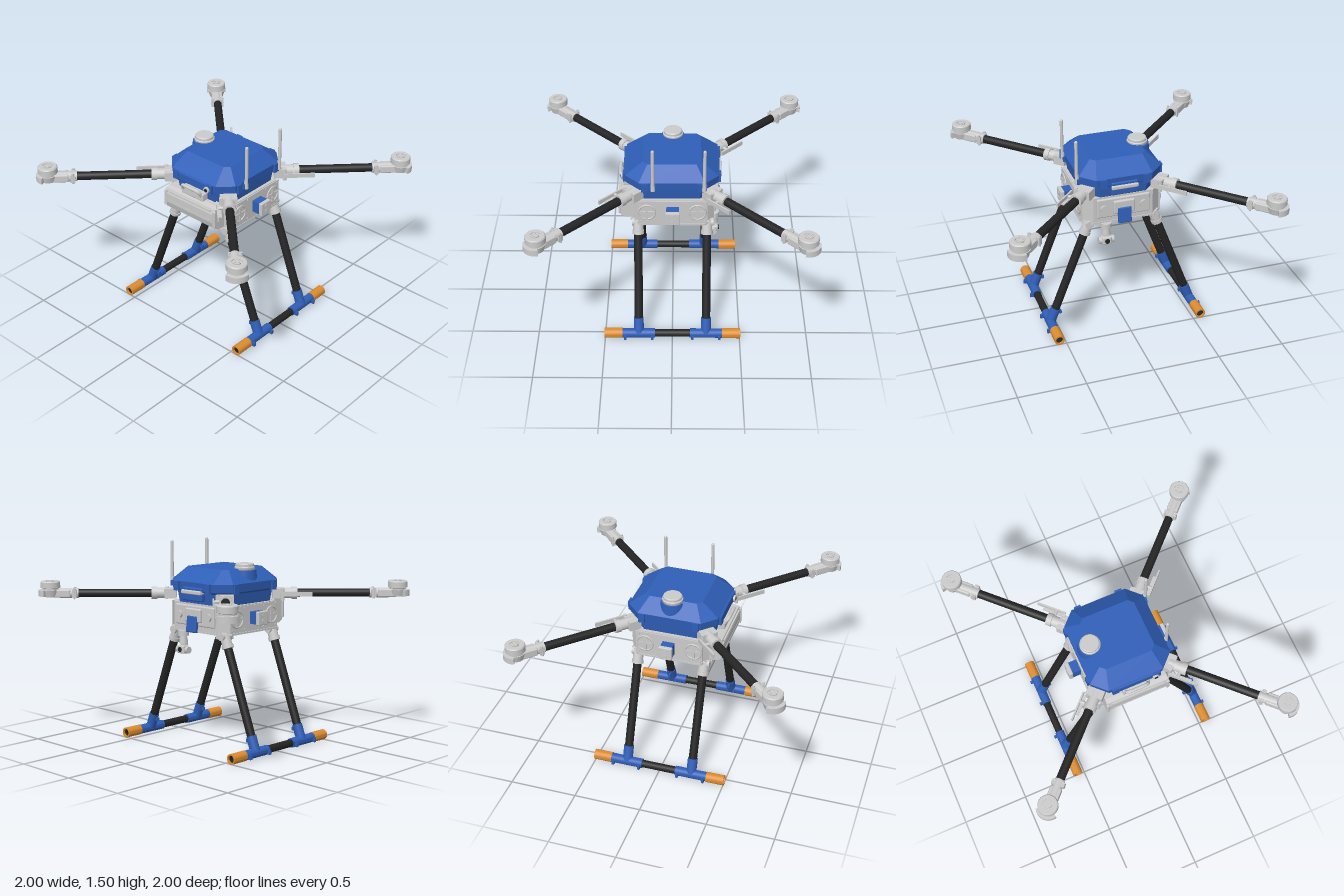
import * as THREE from 'three';
import { toCreasedNormals } from 'three/addons/utils/BufferGeometryUtils.js';
import { RoundedBoxGeometry } from 'three/addons/geometries/RoundedBoxGeometry.js';

const mat = (color) => new THREE.MeshStandardMaterial({ color });
const GREY = mat(0xcccccc), BLUE = mat(0x2f5fb8), DARK = mat(0x242424), ORANGE = mat(0xdc8c30);
const V = (x, y, z) => new THREE.Vector3(x, y, z);

function add(parent, name, geo, material, x = 0, y = 0, z = 0) {
  const m = new THREE.Mesh(geo, material);
  m.name = name;
  m.position.set(x, y, z);
  parent.add(m);
  return m;
}
const box = (p, name, material, w, h, d, x, y, z) => add(p, name, new THREE.BoxGeometry(w, h, d), material, x, y, z);
const soft = (p, name, material, w, h, d, x, y, z, r = 0.01) =>
  add(p, name, new RoundedBoxGeometry(w, h, d, 2, r), material, x, y, z);

// Cylinder between two points
function rod(p, name, material, a, b, r, r2 = r) {
  const d = b.clone().sub(a);
  const m = add(p, name, new THREE.CylinderGeometry(r2, r, d.length(), 24), material);
  m.position.copy(a).add(b).multiplyScalar(0.5);
  m.quaternion.setFromUnitVectors(V(0, 1, 0), d.normalize());
  return m;
}
const turned = (pts, seg = 32) =>
  toCreasedNormals(new THREE.LatheGeometry(pts.map(([r, y]) => new THREE.Vector2(r, y)), seg), 0.6);

// Hollow pipe along z
function pipeZ(p, name, material, x, y, z0, z1, ro, ri) {
  const h = (z1 - z0) / 2;
  const m = add(p, name, turned([[ri, -h], [ro, -h], [ro, h], [ri, h], [ri, -h]]), material, x, y, (z0 + z1) / 2);
  m.rotation.x = Math.PI / 2;
}

// Loft of chamfered rectangles, each ring: [y, halfX, halfZ, chamfer]
function chamferLoft(rings) {
  const pts = [], idx = [];
  for (const [y, a, b, c] of rings) {
    for (const [x, z] of [[a, c - b], [a, b - c], [a - c, b], [c - a, b], [-a, b - c], [-a, c - b], [c - a, -b], [a - c, -b]])
      pts.push(x, y, z);
  }
  const last = (rings.length - 1) * 8;
  for (let r = 0; r < last; r += 8)
    for (let i = 0; i < 8; i++) {
      const j = (i + 1) % 8;
      idx.push(r + i, r + 8 + i, r + j, r + j, r + 8 + i, r + 8 + j);
    }
  for (let i = 1; i < 7; i++) idx.push(0, i, i + 1, last, last + i + 1, last + i);
  const g = new THREE.BufferGeometry();
  g.setAttribute('position', new THREE.Float32BufferAttribute(pts, 3));
  g.setIndex(idx);
  const flat = g.toNonIndexed();
  flat.computeVertexNormals();
  return flat;
}

// Arm built along local +x with motor at the tip
function makeArm() {
  const g = new THREE.Group(), Y = 1.12, M = 1.29;
  g.name = 'arm';
  rod(g, 'armTube', DARK, V(0.44, Y, 0), V(1.13, Y, 0), 0.031);
  rod(g, 'armRootSleeve', GREY, V(0.4, Y, 0), V(0.53, Y, 0), 0.04);
  rod(g, 'armRootCollar', GREY, V(0.5, Y, 0), V(0.54, Y, 0), 0.047);
  box(g, 'hingeBlock', GREY, 0.09, 0.07, 0.12, 0.4, Y, 0);
  rod(g, 'hingePin', GREY, V(0.43, 1.07, 0.055), V(0.43, 1.16, 0.055), 0.015);
  // Folding latch beside the arm
  box(g, 'latchLever', GREY, 0.22, 0.032, 0.012, 0.54, Y, 0.085);
  box(g, 'latchFlange', GREY, 0.16, 0.008, 0.03, 0.52, Y - 0.014, 0.072);
  rod(g, 'latchPin', GREY, V(0.5, Y, 0.03), V(0.5, Y, 0.09), 0.012);
  // Tip clamp and motor mount
  rod(g, 'tipSleeve', GREY, V(1.08, Y, 0), V(1.22, Y, 0), 0.038);
  box(g, 'tipClamp', GREY, 0.035, 0.06, 0.095, 1.11, Y, 0);
  soft(g, 'mountBlock', GREY, 0.14, 0.06, 0.085, 1.21, Y, 0);
  for (const z of [-0.04, 0.04]) rod(g, 'clampBolt', GREY, V(1.11, 1.08, z), V(1.11, 1.16, z), 0.009);
  add(g, 'motorMount', new THREE.CylinderGeometry(0.068, 0.055, 0.05, 32), GREY, M, 1.12, 0);
  const s = new THREE.Shape();
  s.absarc(0, 0, 0.088, -1.05, 1.05, false);
  s.absarc(0, 0, 0.06, 1.05, -1.05, true);
  const guard = add(g, 'lampGuard', new THREE.ExtrudeGeometry(s, { depth: 0.045, bevelEnabled: false, curveSegments: 16 }), GREY, M, 1.145, 0);
  guard.rotation.x = Math.PI / 2;
  add(g, 'motor', turned([[0, 0], [0.06, 0], [0.06, 0.012], [0.072, 0.016], [0.072, 0.058], [0.066, 0.066],
    [0.036, 0.066], [0.036, 0.06], [0.028, 0.06], [0.028, 0.068], [0, 0.068]]), GREY, M, 1.145, 0);
  for (let i = 0; i < 4; i++) {
    const a = i * Math.PI / 2 + 0.78;
    add(g, 'motorBolt', new THREE.CylinderGeometry(0.005, 0.005, 0.006, 8), GREY, M + 0.018 * Math.cos(a), 1.214, 0.018 * Math.sin(a));
  }
  return g;
}

// Landing gear for one side (s = +1 left, -1 right)
function makeSkid(s) {
  const g = new THREE.Group(), X = 0.553 * s, Y = 0.045;
  g.name = 'landingGear';
  const at = (y, z) => V(s * (0.553 - (y - Y) * 0.378), y, z);
  pipeZ(g, 'skidTube', DARK, X, Y, -0.49, 0.49, 0.028, 0.024);
  for (const k of [1, -1]) {
    const z = 0.25 * k;
    rod(g, 'legTube', DARK, at(0.08, z), at(0.85, z), 0.031);
    rod(g, 'legSocket', GREY, at(0.77, z), at(0.87, z), 0.038);
    rod(g, 'legSocketCollar', GREY, at(0.765, z), at(0.79, z), 0.043);
    rod(g, 'legHinge', GREY, at(0.85, z).add(V(0, 0, -0.045)), at(0.85, z).add(V(0, 0, 0.045)), 0.03);
    rod(g, 'teeUpright', BLUE, at(0.05, z), at(0.16, z), 0.037);
    pipeZ(g, 'teeSleeve', BLUE, X, Y, z - 0.12, z + 0.12, 0.035, 0.027);
    for (const e of [-0.1, 0.1]) box(g, 'teeClampTab', BLUE, 0.03, 0.03, 0.018, X + s * 0.037, Y - 0.01, z + e);
    box(g, 'uprightClampTab', BLUE, 0.03, 0.025, 0.02, at(0.14, z).x - s * 0.036, 0.12, z);
    const [a, b] = [0.37 * k, 0.505 * k].sort((p, q) => p - q);
    pipeZ(g, 'skidEndSleeve', ORANGE, X, Y, a, b, 0.038, 0.027);
  }
  return g;
}

// Distance sensor built pointing along +y
function makeSensor() {
  const g = new THREE.Group();
  g.name = 'distanceSensor';
  box(g, 'sensorBody', BLUE, 0.09, 0.07, 0.09, 0, 0.035, 0);
  soft(g, 'sensorFace', GREY, 0.1, 0.03, 0.1, 0, 0.08, 0, 0.006);
  for (const x of [-0.022, 0.022]) add(g, 'sensorLens', new THREE.CylinderGeometry(0.015, 0.015, 0.006, 16), GREY, x, 0.096, 0);
  return g;
}

export function createModel() {
  const model = new THREE.Group();
  model.name = 'quadcopter';
  for (let i = 0; i < 4; i++) {
    const arm = makeArm();
    arm.rotation.y = -Math.PI / 4 + i * Math.PI / 2;
    model.add(arm);
  }
  model.add(makeSkid(1), makeSkid(-1));

  // Upper shell and lower frame
  add(model, 'upperShell', chamferLoft([[1.065, 0.27, 0.3, 0.1], [1.15, 0.28, 0.31, 0.1], [1.165, 0.305, 0.33, 0.1],
    [1.225, 0.31, 0.335, 0.1], [1.32, 0.21, 0.21, 0.035]]), BLUE, 0, 0, 0.005);
  add(model, 'lowerFrame', chamferLoft([[0.87, 0.295, 0.3, 0.07], [1.068, 0.295, 0.3, 0.07]]), GREY);
  add(model, 'bottomPlate', chamferLoft([[0.857, 0.305, 0.305, 0.07], [0.87, 0.305, 0.305, 0.07]]), GREY);
  for (const x of [-0.31, 0.31]) for (const z of [-0.2, 0.2]) box(model, 'shellLatch', BLUE, 0.025, 0.07, 0.045, x, 1.19, z);
  for (const x of [-0.16, 0.16]) for (const z of [-0.333, 0.345]) box(model, 'shellLatch', BLUE, 0.05, 0.07, 0.025, x, 1.19, z);
  soft(model, 'frontVisor', BLUE, 0.3, 0.07, 0.07, 0, 1.19, 0.32);
  soft(model, 'rearVisor', BLUE, 0.2, 0.1, 0.04, 0, 1.14, -0.32);

  // Navigation puck on the roof
  add(model, 'puckCollar', new THREE.CylinderGeometry(0.085, 0.095, 0.09, 32), BLUE, -0.205, 1.265, 0);
  add(model, 'puck', turned([[0.07, 0], [0.075, 0.008], [0.075, 0.025], [0.068, 0.03], [0.068, 0.046], [0.062, 0.052], [0, 0.052]]), GREY, -0.205, 1.305, 0);

  // Antennas
  for (const z of [0.14, -0.225]) {
    rod(model, 'antennaBase', GREY, V(0.322, 1.17, z), V(0.322, 1.24, z), 0.017, 0.013);
    add(model, 'antenna', new THREE.CapsuleGeometry(0.012, 0.27, 6, 16), GREY, 0.325, 1.36, z);
    box(model, 'antennaBracket', BLUE, 0.03, 0.04, 0.04, 0.31, 1.19, z);
  }

  // Battery drawer with handle at the front
  const profile = new THREE.Shape([[0.2, 0.885], [0.34, 0.885], [0.375, 0.905], [0.388, 0.95], [0.388, 1.02], [0.375, 1.06], [0.34, 1.07], [0.2, 1.07]]
    .map(([z, y]) => new THREE.Vector2(-z, y)).reverse());
  const battery = add(model, 'battery', new THREE.ExtrudeGeometry(profile, { depth: 0.48, bevelEnabled: false }), GREY, -0.24, 0, 0);
  battery.rotation.y = Math.PI / 2;
  for (const x of [-0.235, 0.235]) soft(model, 'batteryRail', GREY, 0.025, 0.13, 0.02, x, 0.985, 0.383, 0.006);
  for (const y of [0.965, 1.045]) box(model, 'batteryRib', GREY, 0.4, 0.01, 0.014, 0, y, 0.384);
  soft(model, 'handleHousing', GREY, 0.21, 0.06, 0.09, 0, 1.095, 0.315);
  const grip = new THREE.CatmullRomCurve3([V(-0.085, 1.09, 0.34), V(-0.075, 1.145, 0.375), V(0, 1.15, 0.38), V(0.075, 1.145, 0.375), V(0.085, 1.09, 0.34)]);
  add(model, 'handle', new THREE.TubeGeometry(grip, 24, 0.013, 10), GREY);
  rod(model, 'frontCamera', GREY, V(0.145, 1.185, 0.31), V(0.145, 1.185, 0.37), 0.024);
  rod(model, 'frontCameraLens', DARK, V(0.145, 1.185, 0.36), V(0.145, 1.185, 0.373), 0.013);

  // Side plates: round ports, fasteners and sensors
  for (const s of [1, -1]) {
    box(model, 'sidePlate', GREY, 0.01, 0.19, 0.5, s * 0.298, 0.967, 0);
    for (const z of [0.185, -0.18]) {
      const ring = add(model, 'portRing', new THREE.TorusGeometry(0.06, 0.007, 8, 32), GREY, s * 0.304, 0.97, z);
      ring.rotation.y = Math.PI / 2;
      box(model, 'portBar', GREY, 0.012, 0.018, 0.11, s * 0.304, 0.97, z);
      box(model, 'portBar', GREY, 0.012, 0.11, 0.018, s * 0.304, 0.97, z);
    }
    for (const z of [-0.23, -0.1, 0.1, 0.23]) for (const y of [0.89, 1.045])
      rod(model, 'plateBolt', GREY, V(s * 0.3, y, z), V(s * 0.308, y, z), 0.008);
    const sensor = makeSensor();
    sensor.position.set(s * 0.3, 0.97, 0);
    sensor.rotation.z = -s * Math.PI / 2;
    model.add(sensor);
  }
  const downSensor = makeSensor();
  downSensor.position.set(0, 0.865, 0);
  downSensor.rotation.z = Math.PI;
  model.add(downSensor);

  // Underside ribs and tray
  for (const x of [-0.2, -0.1, 0.1, 0.2]) box(model, 'bottomRib', GREY, 0.012, 0.014, 0.46, x, 0.852, 0);
  for (const z of [-0.16, 0.12]) box(model, 'bottomCrossRib', GREY, 0.46, 0.014, 0.012, 0, 0.852, z);
  soft(model, 'bottomTray', GREY, 0.24, 0.03, 0.1, -0.06, 0.845, 0.18, 0.006);

  // Rear equipment
  soft(model, 'rearPanel', GREY, 0.4, 0.15, 0.03, 0, 0.98, -0.3);
  soft(model, 'rearModule', GREY, 0.16, 0.1, 0.04, 0, 0.985, -0.315);
  for (const x of [-0.15, 0.15]) rod(model, 'rearPort', GREY, V(x, 0.98, -0.3), V(x, 0.98, -0.33), 0.028);
  soft(model, 'rearCap', GREY, 0.2, 0.03, 0.05, 0, 1.155, -0.33, 0.008);
  const rearSensor = soft(model, 'rearSensor', BLUE, 0.1, 0.12, 0.03, 0, 0.92, -0.335, 0.008);
  rearSensor.rotation.x = 0.12;

  // Gimbal camera hanging under the rear
  const gimbal = new THREE.Group();
  gimbal.name = 'gimbalCamera';
  gimbal.position.set(0.13, 0, -0.3);
  add(gimbal, 'gimbalMount', new THREE.CylinderGeometry(0.04, 0.04, 0.04, 24), GREY, 0, 0.84, 0);
  add(gimbal, 'gimbalNeck', new THREE.CylinderGeometry(0.026, 0.032, 0.06, 24), GREY, 0, 0.795, 0);
  soft(gimbal, 'gimbalYoke', GREY, 0.05, 0.06, 0.04, 0, 0.76, 0.01);
  rod(gimbal, 'gimbalTiltMotor', GREY, V(-0.058, 0.715, 0), V(0.058, 0.715, 0), 0.026);
  soft(gimbal, 'cameraHead', GREY, 0.07, 0.06, 0.06, 0, 0.718, -0.005);
  rod(gimbal, 'cameraLens', DARK, V(0, 0.718, -0.03), V(0, 0.718, -0.042), 0.018);
  model.add(gimbal);
  return model;
}
